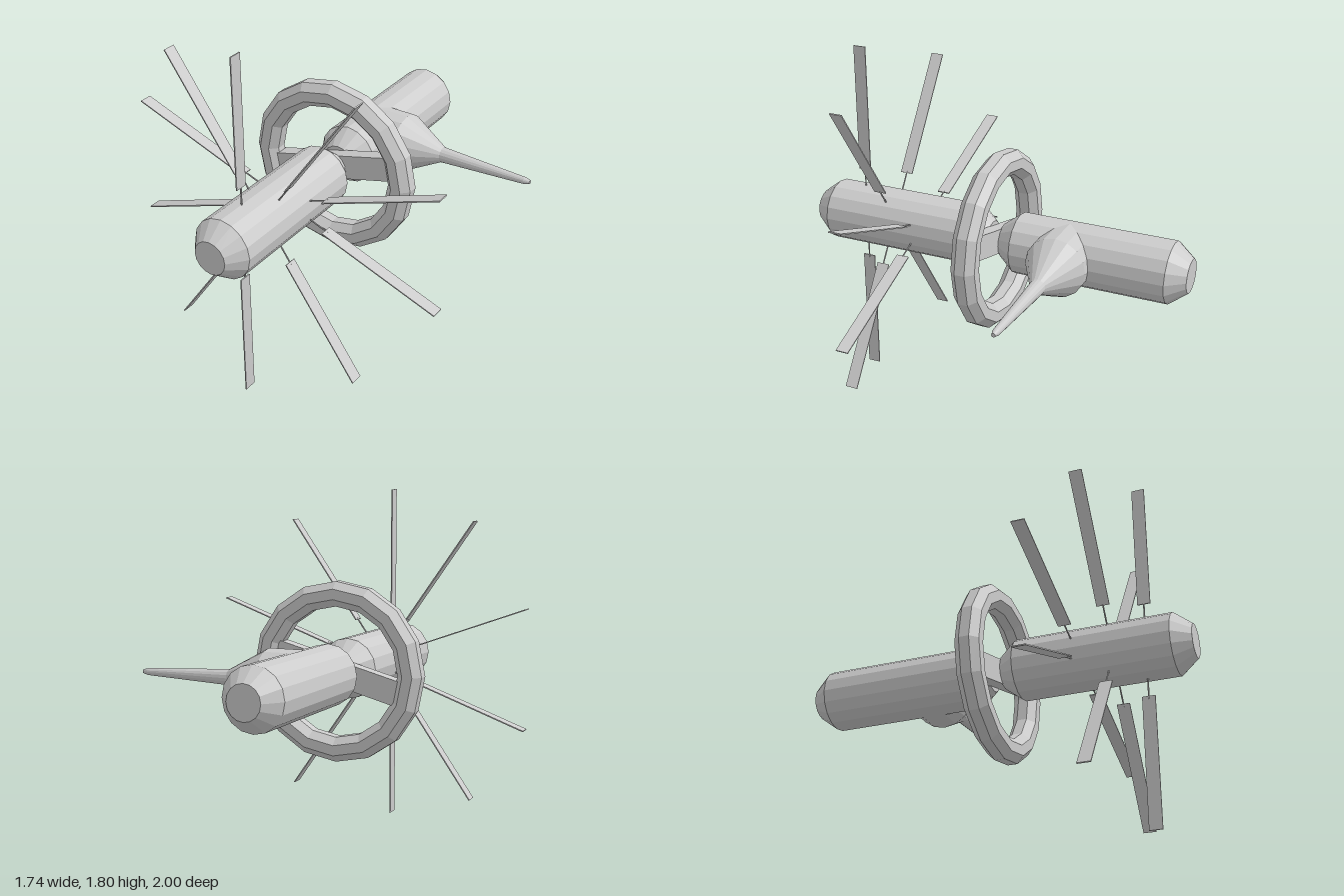
import * as THREE from 'three';

const CX = -0.025, CY = 0.904;
const material = new THREE.MeshStandardMaterial({ color: 0xcccccc, flatShading: true });

function add(parent, name, geometry) {
  const mesh = new THREE.Mesh(geometry, material);
  mesh.name = name;
  parent.add(mesh);
  return mesh;
}

// Faceted solid of revolution from [radius, height] pairs, bottom to top
function turned(profile, sides = 16) {
  return new THREE.LatheGeometry(profile.map(([r, h]) => new THREE.Vector2(r, h)), sides);
}

// Solar panel on a thin mast, pointing outward from the hull axis
function solarPanel(angle, z) {
  const panel = new THREE.Group();
  panel.name = 'solarPanel';
  const inner = 0.245, outer = 0.902;
  add(panel, 'panelBlade', new THREE.BoxGeometry(outer - inner, 0.006, 0.065)).position.x = (inner + outer) / 2;
  const mast = add(panel, 'panelMast', new THREE.CylinderGeometry(0.004, 0.004, 0.16, 6));
  mast.rotation.z = Math.PI / 2;
  mast.position.x = 0.18;
  panel.position.z = z;
  panel.rotation.z = THREE.MathUtils.degToRad(angle);
  return panel;
}

export function createModel() {
  const model = new THREE.Group();
  model.name = 'spaceStation';
  model.position.set(CX, CY, 0);

  // Front and rear hull modules with chamfered ends
  const hullProfile = [[0, 0.03], [0.085, 0.03], [0.155, 0.12], [0.155, 0.91], [0.085, 1], [0, 1]];
  for (const [name, turn] of [['frontModule', 1], ['rearModule', -1]]) {
    add(model, name, turned(hullProfile)).rotation.x = turn * Math.PI / 2;
  }

  // Short neck joining the modules
  add(model, 'neck', new THREE.CylinderGeometry(0.055, 0.055, 0.08, 16)).rotation.x = Math.PI / 2;

  // Habitat ring with an octagonal section
  const section = [];
  for (let i = 0; i <= 8; i++) {
    const a = (i + 0.5) * Math.PI / 4;
    section.push([0.392 + 0.068 * Math.cos(a), 0.068 * Math.sin(a)]);
  }
  add(model, 'habitatRing', turned(section)).rotation.x = Math.PI / 2;

  // Slanted spoke bar across the ring
  add(model, 'ringSpoke', new THREE.BoxGeometry(0.74, 0.125, 0.07)).rotation.z = THREE.MathUtils.degToRad(15);

  // Side module tapering to a long spike
  const spike = add(model, 'sideSpike', turned([
    [0, 0], [0.155, 0], [0.155, 0.19], [0.04, 0.405], [0.018, 0.865], [0.01, 0.895], [0, 0.895],
  ]));
  spike.rotation.z = -Math.PI / 2;
  spike.position.z = -0.381;

  // Three stations of solar panels along the front module
  const stations = [[0.757, [90, 270]], [0.592, [55, 125, 235, 305]], [0.425, [20, 160, 200, 340]]];
  for (const [z, angles] of stations) {
    for (const angle of angles) model.add(solarPanel(angle, z));
  }

  const root = new THREE.Group();
  root.name = 'model';
  root.add(model);
  return root;
}
